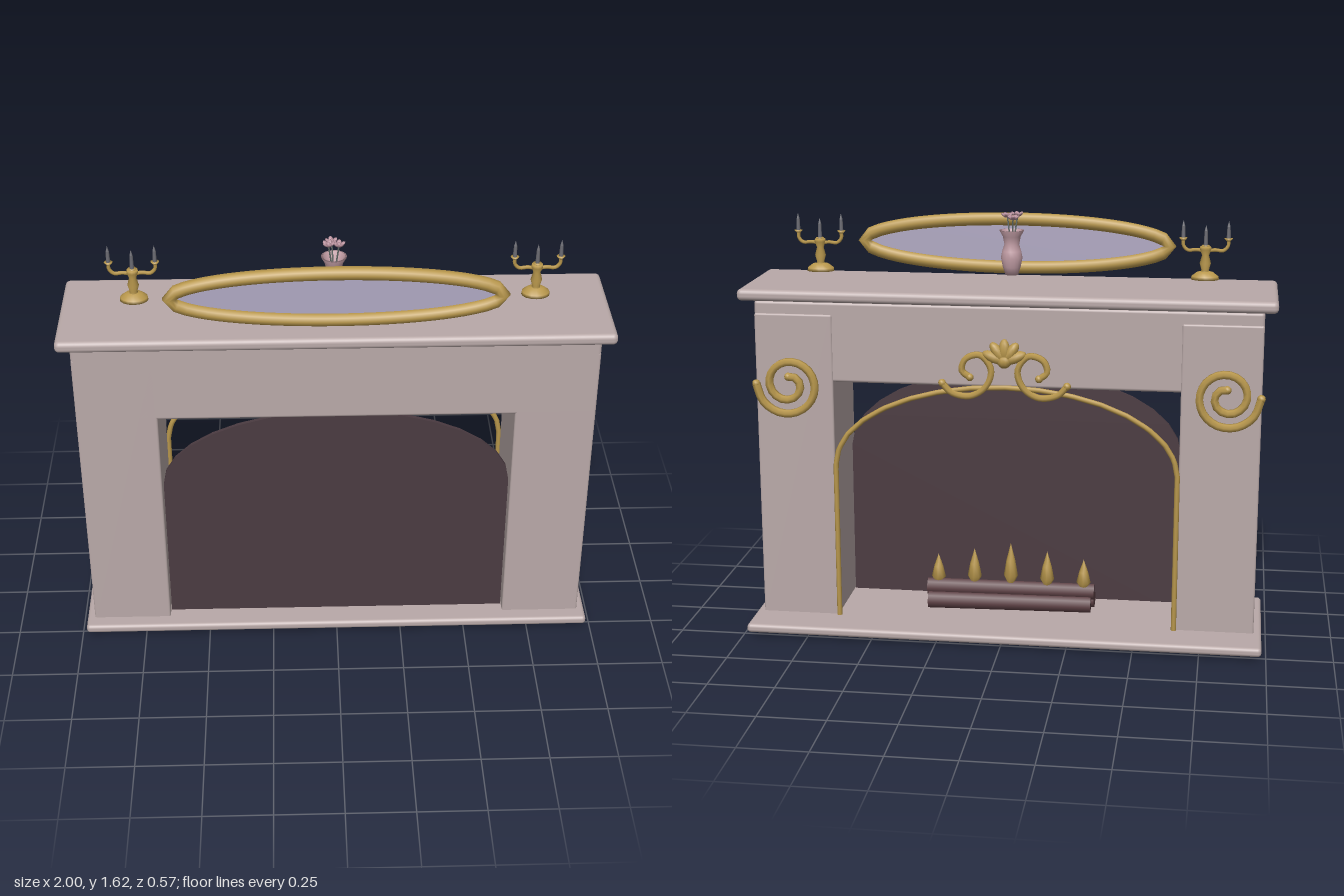
import * as THREE from 'three';
import { RoundedBoxGeometry } from 'three/addons/geometries/RoundedBoxGeometry.js';

const mat = (name, color, opts = {}) => {
  const m = new THREE.MeshStandardMaterial({ color, ...opts });
  m.name = name;
  return m;
};
const stone = mat('stone', 0xb9a9a8);
const soot = mat('soot', 0x4b3b41);
const gold = mat('gold', 0xb8974c);
const glass = mat('mirrorGlass', 0xb0a8c2, { side: THREE.DoubleSide });
const wood = mat('wood', 0x5e4145);
const porcelain = mat('porcelain', 0xc39ea6, { side: THREE.DoubleSide });
const petal = mat('petal', 0xb78f9b);
const wax = mat('candle', 0x6b6b72);
const stalk = mat('stalk', 0x66706c);

const V = (x, y, z = 0) => new THREE.Vector3(x, y, z);

function add(parent, name, geometry, material, x = 0, y = 0, z = 0) {
  const m = new THREE.Mesh(geometry, material);
  m.name = name;
  m.position.set(x, y, z);
  parent.add(m);
  return m;
}

// Rounded slab given by its limits
function slab(parent, name, [x0, x1], [y0, y1], [z0, z1], r) {
  const g = new RoundedBoxGeometry(x1 - x0, y1 - y0, z1 - z0, 3, r);
  return add(parent, name, g, stone, (x0 + x1) / 2, (y0 + y1) / 2, (z0 + z1) / 2);
}

function tube(points, radius, segments, closed = false, sides = 8) {
  return new THREE.TubeGeometry(new THREE.CatmullRomCurve3(points, closed), segments, radius, sides, closed);
}

const lathe = (pts, n = 16) => new THREE.LatheGeometry(pts.map(p => new THREE.Vector2(p[0], p[1])), n);

// Points over the elliptical arch, from right spring to left spring
function archPoints(w, spring, top, n = 16) {
  return Array.from({ length: n + 1 }, (_, i) => {
    const a = Math.PI * i / n;
    return V(w * Math.cos(a), spring + (top - spring) * Math.sin(a));
  });
}

function buildSurround(root) {
  slab(root, 'hearthSlab', [-0.983, 0.983], [0.015, 0.05], [-0.283, 0.283], 0.014);
  slab(root, 'mantelShelf', [-1, 1], [1.297, 1.341], [-0.193, 0.275], 0.018);
  slab(root, 'lintel', [-0.953, 0.953], [0.98, 1.287], [-0.12, 0.227], 0.012);
  for (const s of [-1, 1])
    slab(root, s > 0 ? 'leftPillar' : 'rightPillar', s > 0 ? [0.655, 0.953] : [-0.953, -0.655],
      [0.04, 1.24], [-0.125, 0.227], 0.008);

  // Arched panel closing the firebox
  const arch = archPoints(0.652, 0.66, 0.98);
  const shape = new THREE.Shape([V(-0.652, 0.01), V(0.652, 0.01), ...arch].map(p => new THREE.Vector2(p.x, p.y)));
  add(root, 'fireboxPanel', new THREE.ExtrudeGeometry(shape, { depth: 0.015, bevelEnabled: false }), soot, 0, 0, 0.172);

  // Gilt trim: closed arch outline
  const path = new THREE.CurvePath();
  const pts = [V(-0.65, 0.01), V(0.65, 0.01), ...archPoints(0.65, 0.66, 0.982), V(-0.65, 0.01)];
  for (let i = 1; i < pts.length; i++) path.add(new THREE.LineCurve3(pts[i - 1], pts[i]));
  add(root, 'archTrim', new THREE.TubeGeometry(path, 160, 0.01, 8, false), gold, 0, 0, -0.13);
}

function buildOrnaments(root) {
  for (const s of [-1, 1]) {
    // Spiral on the pillar face
    const spiral = Array.from({ length: 19 }, (_, i) => {
      const t = i / 18, a = -t * Math.PI * 3.5, r = 0.125 - 0.095 * Math.pow(t, 1.1);
      return V(s * (0.825 + r * Math.cos(a)), 0.97 + r * Math.sin(a));
    });
    add(root, 'pillarScroll', tube(spiral, 0.016, 36, false, 6), gold, 0, 0, -0.135);
    for (const e of [spiral[0], spiral[18]])
      add(root, 'scrollEnd', new THREE.SphereGeometry(0.016, 8, 6), gold, e.x, e.y, -0.135);

    // S scroll beside the crest
    const curl = [[0.235, 0.995], [0.2, 0.96], [0.13, 0.948], [0.07, 0.985], [0.05, 1.05], [0.09, 1.105],
      [0.145, 1.09], [0.16, 1.045], [0.13, 1.02]].map(p => V(s * p[0], p[1]));
    add(root, 'crestScroll', tube(curl, 0.013, 36, false, 6), gold, 0, 0, -0.135);
    for (const e of [curl[0], curl[8]])
      add(root, 'scrollEnd', new THREE.SphereGeometry(0.015, 8, 6), gold, e.x, e.y, -0.135);
  }
  // Shell crest made of fanned lobes
  const crest = new THREE.Group();
  crest.name = 'shellCrest';
  crest.position.set(0, 1.085, -0.135);
  for (let i = -2; i <= 2; i++) {
    const lobe = add(crest, 'shellLobe', new THREE.SphereGeometry(1, 10, 8), gold,
      0.04 * Math.sin(i * 0.6), 0.036 * Math.cos(i * 0.6), 0);
    lobe.scale.set(0.022, 0.048, 0.022);
    lobe.rotation.z = -i * 0.6;
  }
  add(crest, 'shellBase', new THREE.SphereGeometry(0.028, 10, 8), gold);
  root.add(crest);
}

function buildFire(root) {
  // Stacked logs
  for (const [y, z, yaw, len] of [[0.08, 0.01, 0.03, 0.64], [0.08, 0.1, -0.05, 0.66], [0.12, 0.055, 0.02, 0.66]]) {
    const log = add(root, 'log', new THREE.CylinderGeometry(0.032, 0.034, len, 8), wood, 0, y, z);
    log.rotation.set(0, yaw, Math.PI / 2);
  }
  // Row of flames
  for (let i = -2; i <= 2; i++) {
    const h = 0.19 - 0.028 * Math.abs(i);
    add(root, 'flame', lathe([[0, 0], [0.028, h * 0.3], [0.018, h * 0.62], [0, h]], 8), gold, i * 0.144, 0.12, 0.055);
  }
}

function buildMirror(root) {
  const mirror = new THREE.Group();
  mirror.name = 'mirror';
  mirror.position.set(0, 1.474, 0.2);
  const ring = Array.from({ length: 32 }, (_, i) => {
    const a = i / 32 * Math.PI * 2;
    return V(0.59 * Math.cos(a), 0.093 * Math.sin(a));
  });
  add(mirror, 'mirrorFrame', tube(ring, 0.025, 64, true, 10), gold);
  add(mirror, 'mirrorPane', new THREE.CircleGeometry(1, 40), glass).scale.set(0.588, 0.092, 1);
  root.add(mirror);
}

function buildCandelabrum(root, x) {
  const g = new THREE.Group();
  g.name = 'candelabrum';
  g.position.set(x, 1.38, 0.035);
  const foot = add(g, 'foot', lathe([[0, 0], [0.052, 0], [0.05, 0.012], [0.03, 0.027], [0, 0.034]]), gold);
  foot.scale.z = 0.8;
  add(g, 'stem', lathe([[0.02, 0.02], [0.014, 0.035], [0.021, 0.06], [0.013, 0.09], [0.022, 0.112],
    [0.02, 0.122], [0, 0.124]], 12), gold);
  const candle = (cx, y, h) => {
    add(g, 'candleCup', lathe([[0, 0], [0.008, 0.002], [0.016, 0.012], [0, 0.013]], 10), gold, cx, y - 0.01, 0);
    add(g, 'candle', new THREE.CylinderGeometry(0.006, 0.008, h, 8), wax, cx, y + h / 2, 0);
    add(g, 'wick', new THREE.ConeGeometry(0.006, 0.022, 8), wax, cx, y + h + 0.011, 0);
  };
  candle(0, 0.125, 0.055);
  for (const s of [-1, 1]) {
    const arm = [[0, 0.105], [0.035, 0.11], [0.065, 0.108], [0.082, 0.125], [0.083, 0.148]].map(p => V(s * p[0], p[1]));
    add(g, 'arm', tube(arm, 0.007, 14, false, 6), gold);
    candle(s * 0.083, 0.152, 0.045);
  }
  root.add(g);
}

function buildVase(root) {
  const g = new THREE.Group();
  g.name = 'flowerVase';
  g.position.set(-0.005, 1.38, 0.04);
  add(g, 'vase', lathe([[0, 0], [0.024, 0], [0.034, 0.03], [0.041, 0.065], [0.036, 0.09], [0.028, 0.115],
    [0.034, 0.145], [0.047, 0.168], [0.04, 0.168], [0.024, 0.12]]), porcelain);
  // Three blossoms on stalks
  [[-0.02, 0.222, 0.018], [0.018, 0.218, 0.012], [-0.008, 0.214, -0.022]].forEach(([x, y, z], k) => {
    add(g, 'stalk', tube([V(0, 0.08, 0), V(x * 0.5, 0.15, z * 0.5), V(x, y, z)], 0.003, 8, false, 5), stalk);
    for (let i = 0; i < 5; i++) {
      const a = i / 5 * Math.PI * 2 + k;
      const p = add(g, 'petal', new THREE.SphereGeometry(1, 8, 6), petal,
        x + 0.013 * Math.cos(a), y + 0.004, z + 0.013 * Math.sin(a));
      p.scale.set(0.013, 0.005, 0.009);
      p.rotation.set(0, -a, 0.7);
    }
    add(g, 'blossomHeart', new THREE.SphereGeometry(0.008, 8, 6), petal, x, y + 0.004, z);
  });
  root.add(g);
}

export function createModel() {
  const root = new THREE.Group();
  root.name = 'fireplace';
  buildSurround(root);
  buildOrnaments(root);
  buildFire(root);
  buildMirror(root);
  for (const x of [-0.728, 0.728]) buildCandelabrum(root, x);
  buildVase(root);
  return root;
}
